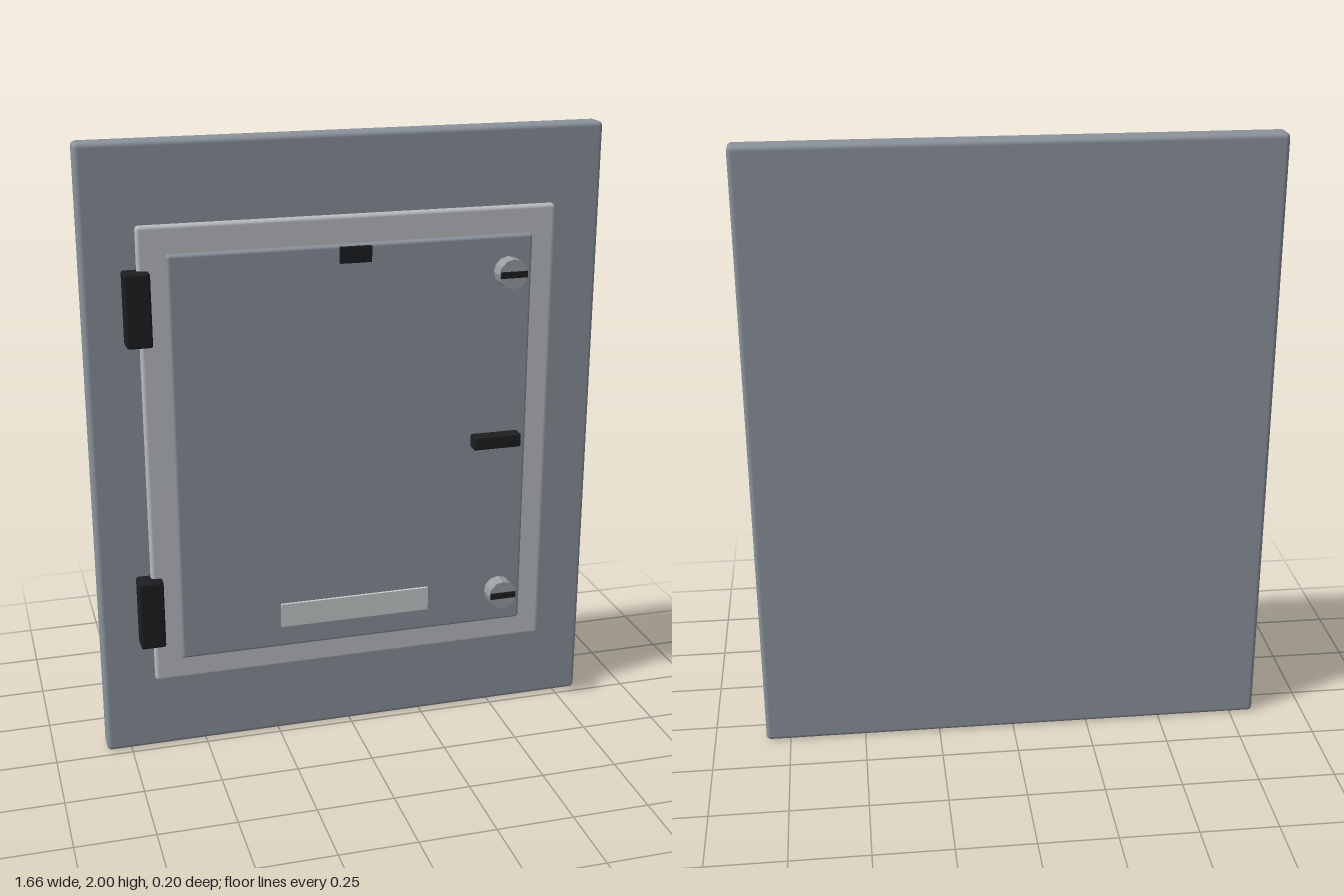
import * as THREE from 'three';
import { RoundedBoxGeometry } from 'three/addons/geometries/RoundedBoxGeometry.js';

const material = (color, flatShading = false) => {
  const m = new THREE.MeshStandardMaterial({ color });
  m.flatShading = flatShading;
  return m;
};

export function createModel() {
  const group = new THREE.Group();
  const steel = material(0x8a929c);
  const trim = material(0xbabdc2);
  const black = material(0x1c1e20);
  const knobSteel = material(0x9a9fa3, true);
  const plate = material(0xc8cccd);

  // Box given by its extents; a bevel radius rounds its edges
  function box(name, mat, [x0, x1], [y0, y1], [z0, z1], bevel = 0) {
    const size = [x1 - x0, y1 - y0, z1 - z0];
    const geometry = bevel
      ? new RoundedBoxGeometry(...size, 2, bevel)
      : new THREE.BoxGeometry(...size);
    const mesh = new THREE.Mesh(geometry, mat);
    mesh.name = name;
    mesh.position.set((x0 + x1) / 2, (y0 + y1) / 2, (z0 + z1) / 2);
    group.add(mesh);
    return mesh;
  }

  // Layered slabs: wall panel, raised frame, door leaf
  box('wallPanel', steel, [-0.83, 0.83], [0, 2], [-0.1, -0.023], 0.015);
  box('doorFrame', trim, [-0.665, 0.665], [0.255, 1.755], [-0.018, 0.013], 0.012);
  box('door', steel, [-0.58, 0.58], [0.34, 1.67], [0.013, 0.042], 0.01);

  // Hinges on the model's right edge
  for (const y of [0.505, 1.505]) {
    box('hinge', black, [-0.71, -0.63], [y - 0.115, y + 0.115], [-0.025, 0.045], 0.008);
  }

  // Slotted quarter-turn locks
  for (const y of [0.455, 1.555]) {
    const knob = new THREE.Mesh(new THREE.CylinderGeometry(0.048, 0.048, 0.055, 12), knobSteel);
    knob.name = 'lockKnob';
    knob.rotation.x = Math.PI / 2;
    knob.position.set(0.5, y, 0.0665);
    group.add(knob);
    box('lockSlot', black, [0.456, 0.544], [y - 0.01, y + 0.01], [0.086, 0.1]);
  }

  // Latch handle, top catch and blank plate
  box('latchHandle', black, [0.385, 0.545], [0.98, 1.025], [0.049, 0.094], 0.006);
  box('topCatch', black, [-0.05, 0.05], [1.615, 1.665], [0.038, 0.055]);
  box('blankPlate', plate, [-0.25, 0.25], [0.415, 0.495], [0.038, 0.051]);

  return group;
}
